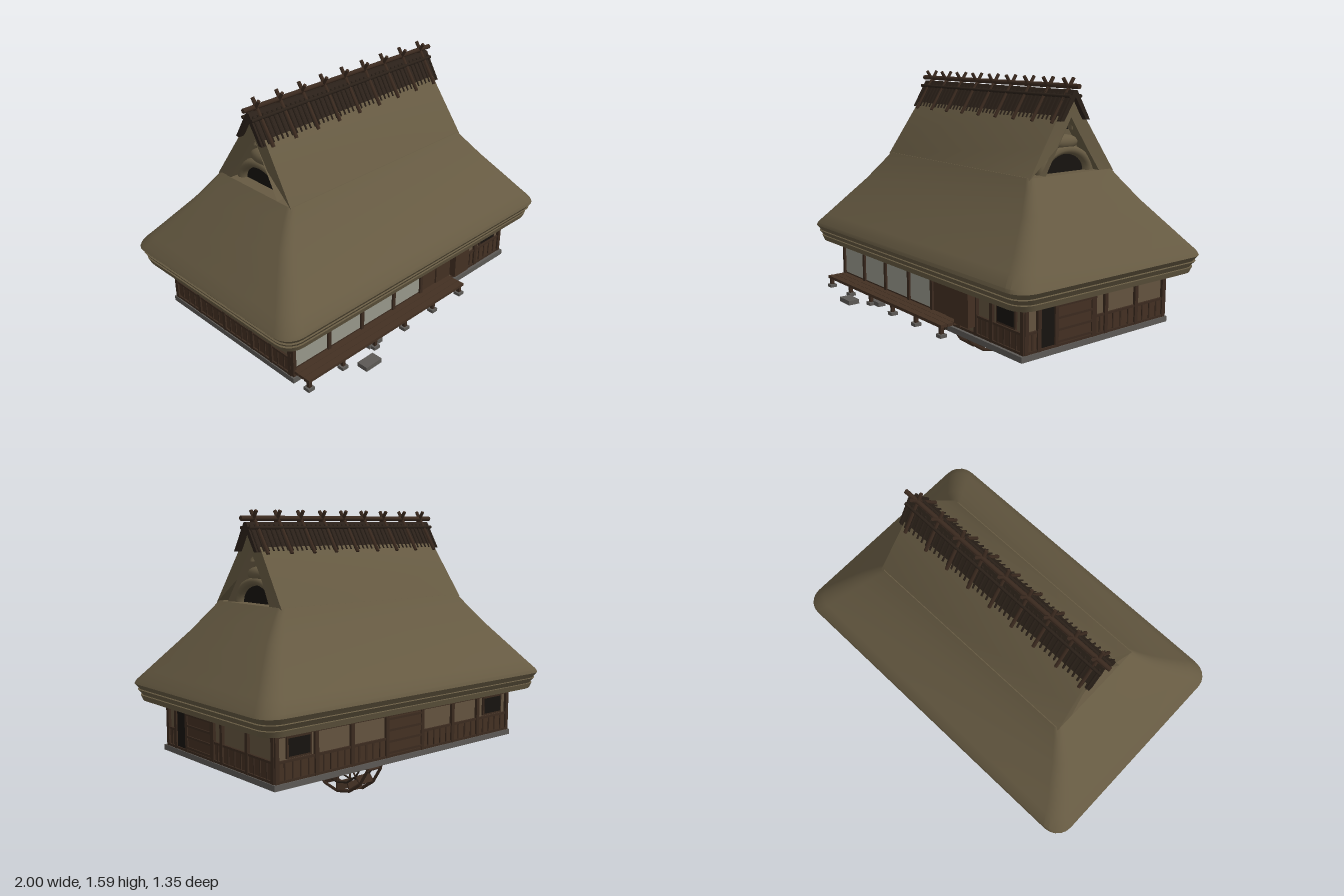
import * as THREE from 'three';
import { toCreasedNormals } from 'three/addons/utils/BufferGeometryUtils.js';

const mat = (color, side = THREE.FrontSide) => new THREE.MeshStandardMaterial({ color, side });
const THATCH = mat(0x665a42), WOOD = mat(0x3b2a1f), DARKWOOD = mat(0x2b2119), PLASTER = mat(0x63533f);
const PAPER = mat(0x97978a), BOARD = mat(0x433022), BLACK = mat(0x17130f, THREE.DoubleSide), STONE = mat(0x5c5955);
const CZ = -0.03; // z of the ridge line

function add(parent, name, geometry, material) {
  const mesh = new THREE.Mesh(geometry, material);
  mesh.name = name;
  parent.add(mesh);
  return mesh;
}
function group(parent, name) {
  const g = new THREE.Group();
  g.name = name;
  parent.add(g);
  return g;
}
function box(parent, name, material, x0, x1, y0, y1, z0, z1) {
  const m = add(parent, name, new THREE.BoxGeometry(x1 - x0, y1 - y0, z1 - z0), material);
  m.position.set((x0 + x1) / 2, (y0 + y1) / 2, (z0 + z1) / 2);
  return m;
}
// round or square bar between two points
function bar(parent, name, material, a, b, r, sides = 6) {
  const p = new THREE.Vector3(...a), q = new THREE.Vector3(...b), d = q.clone().sub(p);
  const m = add(parent, name, new THREE.CylinderGeometry(r, r, d.length(), sides), material);
  m.position.copy(p).add(q).multiplyScalar(0.5);
  m.quaternion.setFromUnitVectors(new THREE.Vector3(0, 1, 0), d.normalize());
  return m;
}

// skin over rounded rectangles [halfX, halfZ, cornerRadius, y], closed at the top
function loftRings(rings, steps = 5) {
  const pos = [], idx = [], n = 4 * (steps + 1);
  for (const [hx, hz, r, y] of rings)
    for (let c = 0; c < 4; c++)
      for (let s = 0; s <= steps; s++) {
        const a = (c + s / steps) * Math.PI / 2;
        const sx = c === 0 || c === 3 ? 1 : -1, sz = c < 2 ? -1 : 1;
        pos.push(sx * (hx - r) + r * Math.cos(a), y, sz * (hz - r) - r * Math.sin(a));
      }
  for (let i = 0; i < rings.length - 1; i++)
    for (let j = 0; j < n; j++) {
      const a = i * n + j, b = i * n + (j + 1) % n;
      idx.push(a, b, b + n, a, b + n, a + n);
    }
  const top = (rings.length - 1) * n;
  for (let j = 1; j < n - 1; j++) idx.push(top, top + j, top + j + 1);
  const g = new THREE.BufferGeometry();
  g.setAttribute('position', new THREE.Float32BufferAttribute(pos, 3));
  g.setIndex(idx);
  return toCreasedNormals(g, 0.5);
}

// extrude a (z, y) outline along x, centred on x = 0
function extrudeX(points, length) {
  const shape = new THREE.Shape(points.map(p => new THREE.Vector2(...p)));
  return new THREE.ExtrudeGeometry(shape, { depth: length, bevelEnabled: false })
    .translate(0, 0, -length / 2).rotateY(Math.PI / 2);
}

function buildRoof(root) {
  const roof = group(root, 'roof');
  roof.position.z = CZ;
  // hipped lower thatch with layered eaves
  add(roof, 'lowerThatch', loftRings([
    [0.83, 0.47, 0.03, 0.63], [0.92, 0.56, 0.07, 0.58], [0.965, 0.605, 0.09, 0.58],
    [0.975, 0.615, 0.09, 0.61], [0.967, 0.607, 0.09, 0.612], [0.985, 0.627, 0.09, 0.64],
    [0.977, 0.62, 0.09, 0.643], [1, 0.64, 0.1, 0.672], [0.99, 0.635, 0.1, 0.69],
    [0.945, 0.585, 0.09, 0.745], [0.895, 0.526, 0.08, 0.81], [0.775, 0.395, 0.06, 0.96],
    [0.69, 0.32, 0.04, 1.065], [0.645, 0.285, 0.03, 1.12]]), THATCH);
  // upper slopes, slightly narrower toward the ridge
  const outer = [[0.287, 1.11], [0.19, 1.26], [0.085, 1.41]], inner = [[0.19, 1.11], [0.1, 1.25]];
  const mirror = pts => pts.map(([z, y]) => [-z, y]).reverse();
  const upper = extrudeX([...outer, [0, 1.5], ...mirror(outer), ...mirror(inner), [0, 1.4], ...inner.slice().reverse()], 2);
  const p = upper.attributes.position;
  for (let i = 0; i < p.count; i++) {
    const t = (p.getY(i) - 1.11) / 0.3;
    p.setX(i, p.getX(i) * (0.645 - 0.045 * t + 0.025 * t * t));
  }
  add(roof, 'upperThatch', toCreasedNormals(upper, 0.5), THATCH);
  add(roof, 'gableFill', extrudeX([[0.2, 1.11], [0.1, 1.27], [0, 1.43], [-0.1, 1.27], [-0.2, 1.11]], 1.12), THATCH);
  // smoke openings under thatch hoods in both gables
  for (const s of [1, -1]) {
    const gable = group(roof, s > 0 ? 'leftGable' : 'rightGable');
    gable.rotation.y = s * Math.PI / 2;
    for (const [y, w, h, d] of [[1.12, 0.155, 0.095, 0.58], [1.335, 0.035, 0.05, 0.57]]) {
      const hole = add(gable, 'smokeOpening', new THREE.CircleGeometry(1, 20, 0, Math.PI), BLACK);
      hole.scale.set(w, h, 1);
      hole.position.set(0, y, d);
      const hood = add(gable, 'openingHood', new THREE.TorusGeometry(1, 0.2, 8, 20, Math.PI), THATCH);
      hood.scale.set(w * 1.02, h * 1.2, 0.16);
      hood.position.set(0, y, d);
    }
    const swell = add(gable, 'gableSwell', new THREE.SphereGeometry(1, 16, 10), THATCH);
    swell.scale.set(0.095, 0.04, 0.045);
    swell.position.set(0, 1.27, 0.565);
  }
}

function buildRidge(root) {
  const ridge = group(root, 'ridge');
  ridge.position.z = CZ;
  add(ridge, 'ridgeCover', extrudeX([[0.1, 1.385], [0.01, 1.535], [-0.01, 1.535], [-0.1, 1.385], [-0.075, 1.385], [0, 1.5], [0.075, 1.385]], 1.31), DARKWOOD);
  bar(ridge, 'ridgePole', WOOD, [-0.68, 1.553, 0], [0.68, 1.553, 0], 0.013, 8);
  for (const s of [1, -1]) {
    bar(ridge, 'ridgeRail', DARKWOOD, [-0.66, 1.505, s * 0.035], [0.655, 1.505, s * 0.035], 0.009);
    // bark strips
    for (let i = 0; i < 43; i++) {
      const x = -0.64 + i * 0.0305;
      bar(ridge, 'barkStrip', DARKWOOD, [x, 1.39, s * 0.101], [x, 1.52, s * 0.022], 0.006, 4);
    }
    // crossed poles
    for (let i = 0; i < 9; i++) {
      const x = -0.6 + i * 0.15;
      bar(ridge, 'crossPole', WOOD, [x + s * 0.005, 1.375, s * 0.115], [x + s * 0.005, 1.592, -s * 0.03], 0.01);
    }
  }
}

// one wall in its own frame: u runs to the viewer's right, z points outward
function makeWall(root, name, x, z, angle) {
  const w = group(root, name);
  w.position.set(x, 0, z);
  w.rotation.y = angle;
  const panel = (n, m, u0, u1, y0, y1, d) => box(w, n, m, u0, u1, y0, y1, -0.01, d);
  const post = u => panel('post', WOOD, u - 0.011, u + 0.011, 0.325, 0.6, 0.016);
  return {
    panel, post,
    beam(u0, u1) {
      panel('sill', WOOD, u0, u1, 0.323, 0.338, 0.014);
      panel('lintel', WOOD, u0, u1, 0.543, 0.562, 0.014);
    },
    bay(u0, u1) {
      panel('wainscot', BOARD, u0, u1, 0.33, 0.425, 0.006);
      panel('rail', WOOD, u0, u1, 0.42, 0.432, 0.012);
      const n = Math.max(1, Math.round((u1 - u0) / 0.05));
      for (let i = 1; i < n; i++) {
        const u = u0 + (u1 - u0) * i / n;
        panel('batten', WOOD, u - 0.004, u + 0.004, 0.33, 0.425, 0.011);
      }
      post(u0); post(u1);
    },
    window(u0, u1) {
      panel('windowFrame', WOOD, u0 - 0.01, u1 + 0.01, 0.437, 0.545, 0.012);
      panel('windowOpening', BLACK, u0, u1, 0.447, 0.535, 0.014);
    },
    door(u0, u1) {
      panel('boardDoor', BOARD, u0, u1, 0.33, 0.545, 0.01);
      for (const y of [0.35, 0.41, 0.47, 0.53]) panel('doorRail', WOOD, u0, u1, y - 0.006, y + 0.006, 0.016);
      post(u0); post(u1);
    },
  };
}
const bays = (wall, us) => us.slice(1).forEach((u, i) => wall.bay(us[i], u));

function buildHouse(root) {
  box(root, 'floorSlab', STONE, -0.86, 0.86, 0.295, 0.325, -0.535, 0.48);
  box(root, 'wallCore', PLASTER, -0.84, 0.84, 0.32, 0.64, -0.515, 0.45);

  const front = makeWall(root, 'frontWall', 0, 0.45, 0);
  front.beam(-0.85, 0.85);
  const posts = [-0.845, -0.605, -0.365, -0.12, 0.105];
  posts.slice(1).forEach((u, i) => {
    front.panel('paperScreen', PAPER, posts[i], u, 0.375, 0.585, 0.015);
    front.panel('screenSill', WOOD, posts[i], u, 0.33, 0.375, 0.016);
  });
  for (const u of posts) front.panel('screenPost', WOOD, u - 0.01, u + 0.01, 0.33, 0.6, 0.026);
  for (let i = 0; i < 2; i++)
    front.panel('slidingDoor', BOARD, 0.115 + i * 0.125, 0.235 + i * 0.125, 0.335, 0.585, 0.014 + i * 0.006);
  front.panel('shutterCase', BOARD, 0.36, 0.48, 0.37, 0.585, 0.06);
  bays(front, [0.48, 0.605, 0.84]);
  front.window(0.655, 0.78);

  const back = makeWall(root, 'backWall', 0, -0.515, Math.PI);
  back.beam(-0.85, 0.85);
  bays(back, [-0.84, -0.6, -0.37, -0.13]);
  bays(back, [0.13, 0.37, 0.58, 0.84]);
  back.door(-0.13, 0.13);
  back.window(-0.77, -0.64);
  back.window(0.64, 0.78);

  const left = makeWall(root, 'leftWall', 0.84, 0, Math.PI / 2);
  left.beam(-0.45, 0.515);
  left.bay(-0.445, -0.365);
  left.panel('doorway', BLACK, -0.36, -0.25, 0.33, 0.545, 0.008);
  left.door(-0.255, -0.01);
  bays(left, [0, 0.08, 0.3, 0.51]);

  const right = makeWall(root, 'rightWall', -0.84, 0, -Math.PI / 2);
  right.beam(-0.515, 0.45);
  bays(right, [-0.51, -0.3, -0.08, 0.15, 0.3, 0.445]);
  right.window(-0.05, 0.12);
}

function buildVeranda(root) {
  const v = group(root, 'veranda');
  for (let i = 0; i < 3; i++) box(v, 'deckBoard', BOARD, -0.85, 0.35, 0.352, 0.368, 0.465 + i * 0.04, 0.503 + i * 0.04);
  box(v, 'deckBeam', DARKWOOD, -0.84, 0.34, 0.335, 0.352, 0.535, 0.555);
  for (let i = 0; i < 6; i++) {
    const x = -0.835 + i * 0.233;
    box(v, 'deckPost', WOOD, x - 0.009, x + 0.009, 0.31, 0.352, 0.557, 0.577);
    box(v, 'footStone', STONE, x - 0.02, x + 0.02, 0.297, 0.315, 0.547, 0.587);
  }
  box(v, 'stepStone', STONE, -0.54, -0.43, 0.297, 0.322, 0.61, 0.675);
  box(v, 'stepStone', STONE, -0.4, -0.3, 0.297, 0.322, 0.515, 0.56);
}

function buildWheel(root) {
  const wheel = group(root, 'waterWheel');
  wheel.position.set(-0.003, 0.293, CZ);
  const N = 16, at = (i, r, x) => [x, -r * Math.cos(i * 2 * Math.PI / N), r * Math.sin(i * 2 * Math.PI / N)];
  // only the half below the floor
  for (let i = -4; i <= 4; i++) {
    for (const x of [-0.05, 0.05]) {
      if (i < 4) {
        bar(wheel, 'outerRim', WOOD, at(i, 0.278, x), at(i + 1, 0.278, x), 0.01, 4);
        bar(wheel, 'innerRim', DARKWOOD, at(i, 0.228, x), at(i + 1, 0.228, x), 0.006, 4);
      }
      if (i % 2 === 0) bar(wheel, 'spoke', WOOD, at(i, 0.02, x), at(i, 0.278, x), 0.007, 4);
    }
    const paddle = add(wheel, 'paddle', new THREE.BoxGeometry(0.1, 0.055, 0.008), WOOD);
    paddle.position.set(...at(i, 0.253, 0));
    paddle.rotation.x = -i * 2 * Math.PI / N;
  }
  bar(wheel, 'hub', DARKWOOD, [-0.06, 0, 0], [0.06, 0, 0], 0.028, 10);
  // slanted legs beside the wheel
  for (const x of [0.3, 0.477])
    for (const s of [1, -1])
      bar(root, 'slantedLeg', WOOD, [x, 0.132, CZ + s * 0.075], [x, 0.3, CZ + s * 0.055], 0.009);
}

export function createModel() {
  const root = new THREE.Group();
  root.name = 'thatchedFarmhouse';
  buildRoof(root);
  buildRidge(root);
  buildHouse(root);
  buildVeranda(root);
  buildWheel(root);
  return root;
}
